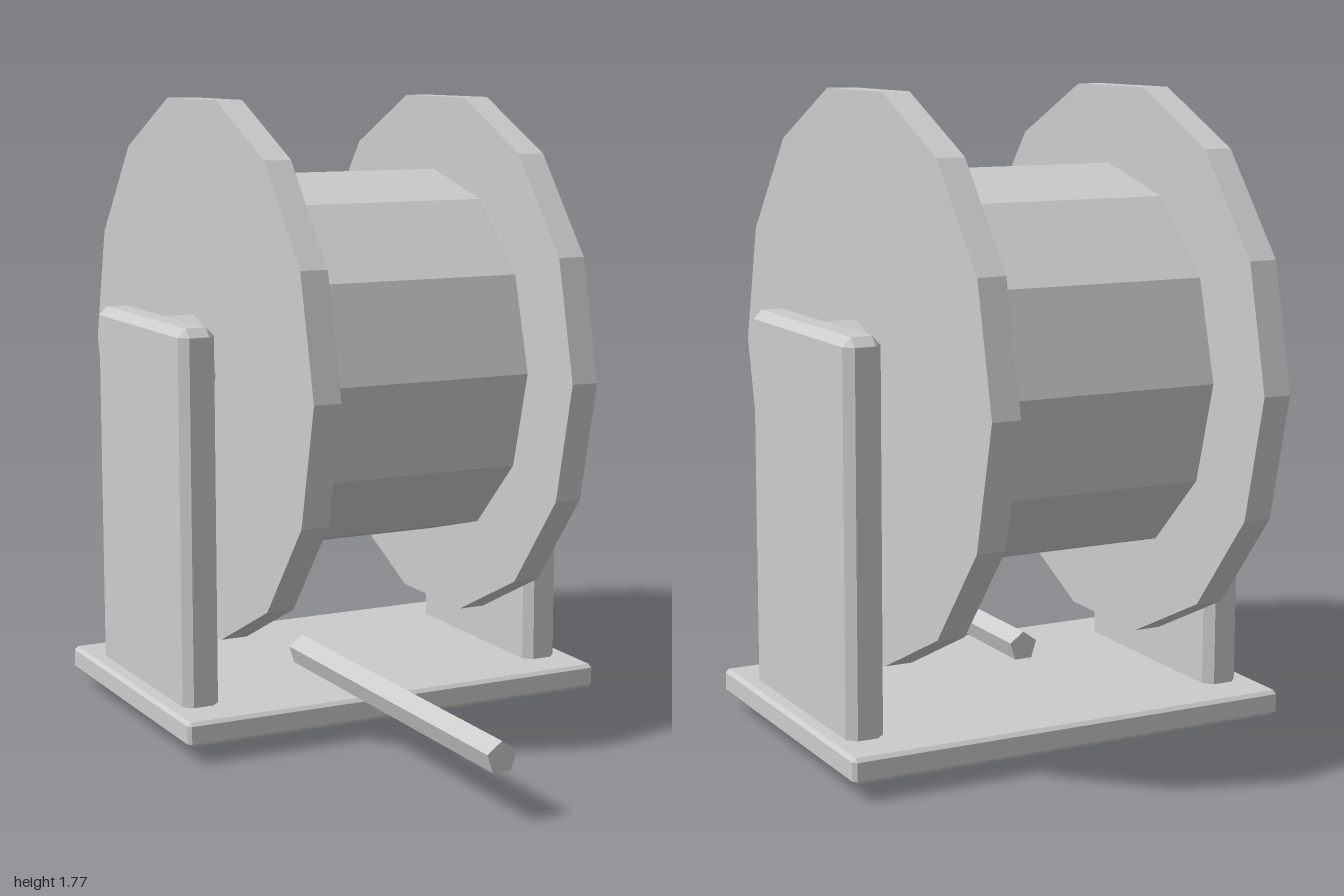
import * as THREE from 'three';
import { ConvexGeometry } from 'three/addons/geometries/ConvexGeometry.js';

const material = new THREE.MeshStandardMaterial({ color: 0xcccccc, flatShading: true });

// Box with chamfered edges and corners: hull of three points per corner
function chamferBox(w, h, d, c) {
  const points = [];
  for (const sx of [-1, 1]) for (const sy of [-1, 1]) for (const sz of [-1, 1]) {
    for (let axis = 0; axis < 3; axis++) {
      const half = [w / 2 - c, h / 2 - c, d / 2 - c];
      half[axis] += c;
      points.push(new THREE.Vector3(sx * half[0], sy * half[1], sz * half[2]));
    }
  }
  return new ConvexGeometry(points);
}

// Faceted cylinder lying along x, with a vertex pointing to +z
function rollAlongX(radius, length, sides) {
  return new THREE.CylinderGeometry(radius, radius, length, sides).rotateZ(Math.PI / 2);
}

export function createModel() {
  const model = new THREE.Group();
  const add = (name, geometry, x, y, z, parent = model) => {
    const mesh = new THREE.Mesh(geometry, material);
    mesh.name = name;
    mesh.position.set(x, y, z);
    parent.add(mesh);
    return mesh;
  };

  // Base plate and the two upright supports that pass through it
  add('basePlate', chamferBox(1.288, 0.07, 0.895, 0.01), 0, 0.081, -0.227);
  for (const side of [-1, 1]) {
    const name = side > 0 ? 'left' : 'right';
    add(name + 'Support', chamferBox(0.106, 1.163, 0.64, 0.024), side * 0.545, 0.5815, -0.227);
  }

  // Spool: axle, winding drum and end flanges
  const spool = new THREE.Group();
  spool.name = 'spool';
  spool.position.set(0, 1.011, -0.226);
  model.add(spool);
  add('axle', rollAlongX(0.152, 1.06, 8), 0, 0, 0, spool);
  add('drum', rollAlongX(0.542, 0.72, 12), 0, 0, 0, spool);
  for (const side of [-1, 1]) {
    add(side > 0 ? 'leftFlange' : 'rightFlange', rollAlongX(0.774, 0.078, 14), side * 0.387, 0, 0, spool);
  }

  // Five-sided rod reaching out to the front, one edge on top
  const rod = new THREE.CylinderGeometry(0.044, 0.044, 1.14, 5).rotateX(-Math.PI / 2);
  add('rod', rod, -0.132, 0.171, 0.43);

  return model;
}
